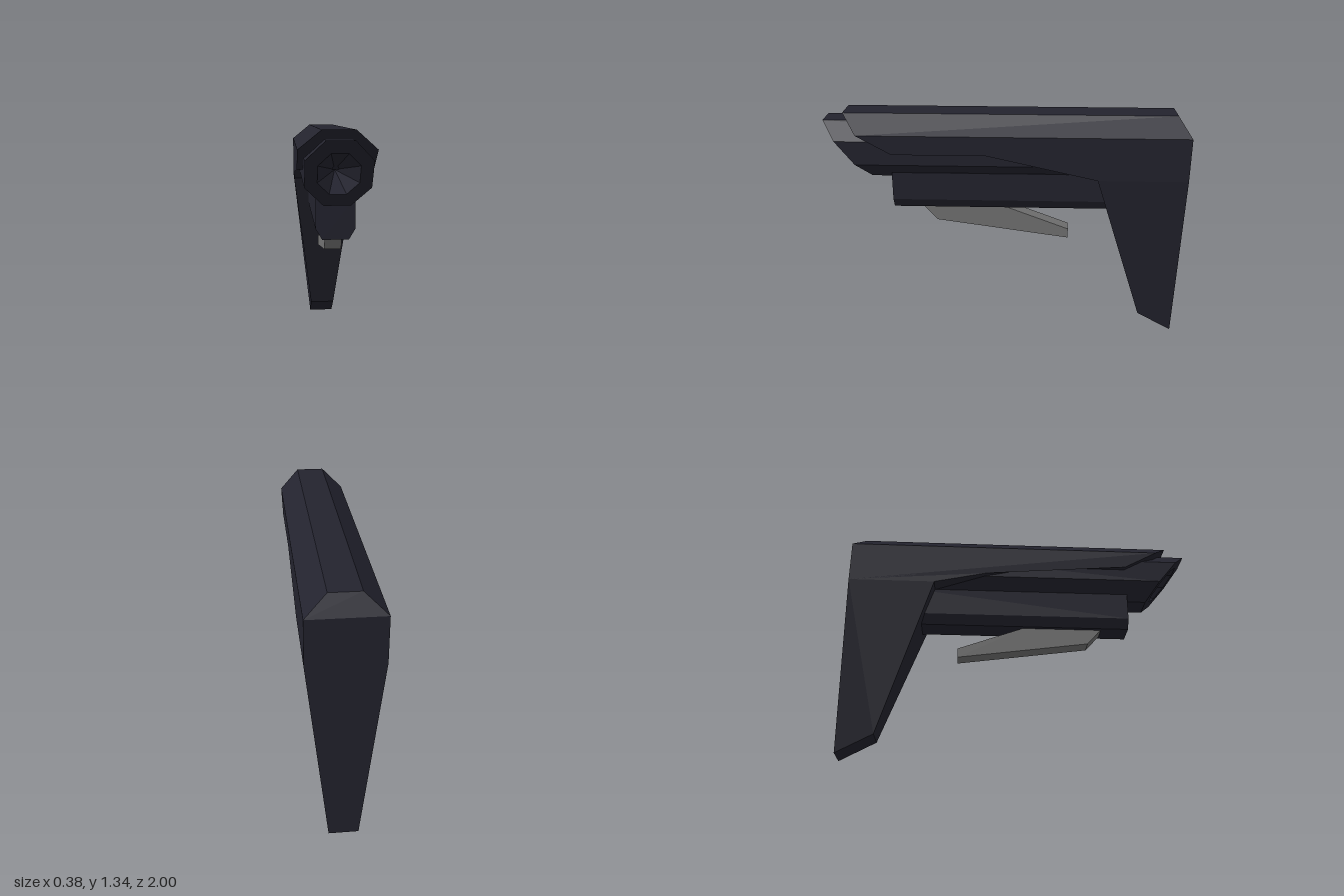
import * as THREE from 'three';

const darkBody = new THREE.MeshStandardMaterial({ color: 0x23232e });
const greyMetal = new THREE.MeshStandardMaterial({ color: 0x757575 });

// Flat-faced geometry from convex polygons (corners counter-clockwise from outside)
function facets(polys) {
  const pos = [];
  for (const p of polys) {
    for (let i = 1; i < p.length - 1; i++) pos.push(...p[0], ...p[i], ...p[i + 1]);
  }
  const g = new THREE.BufferGeometry();
  g.setAttribute('position', new THREE.Float32BufferAttribute(pos, 3));
  g.computeVertexNormals();
  return g;
}

// Skin over rings ordered from back to front; the first ring is capped
function loft(rings, capFront) {
  const polys = [[...rings[0]].reverse()];
  for (let r = 0; r < rings.length - 1; r++) {
    const a = rings[r], b = rings[r + 1], n = a.length;
    for (let i = 0; i < n; i++) {
      const j = (i + 1) % n;
      polys.push([a[i], a[j], b[j], b[i]]);
    }
  }
  if (capFront) polys.push(rings[rings.length - 1]);
  return facets(polys);
}

// Housing and grip: side outline of [z, y, half width], mirrored in x
function housingGeometry() {
  const outline = [
    [0.80, 1.24, 0.192], [0.61, 1.135, 0.192], [0.10, 1.135, 0.192], [-0.51, 1.0, 0.192],
    [-0.80, 0.11, 0.077], [-1, 0, 0.077], [-1, 1.0, 0.192], [-1, 1.24, 0.192],
    [-0.935, 1.335, 0.08], [0.885, 1.335, 0.08],
  ];
  const L = outline.map(([z, y, w]) => [w, y, z]);
  const R = outline.map(([z, y, w]) => [-w, y, z]);
  const polys = [];
  // strips joining the two sides
  for (let i = 0; i < L.length; i++) {
    const j = (i + 1) % L.length;
    polys.push([L[i], R[i], R[j], L[j]]);
  }
  // side wall, grip side and top bevel
  for (const face of [[7, 0, 1, 2, 3, 6], [3, 4, 5, 6], [0, 7, 8, 9]]) {
    polys.push(face.map(i => L[i]), face.map(i => R[i]).reverse());
  }
  return facets(polys);
}

// Barrel: octagon with a slanted muzzle and a conical bore
function barrelGeometry() {
  const cy = 1.13;
  const slant = y => 1 - (1.29 - y) * 0.797;
  const octagon = (r, zOf) => {
    const k = r * 0.4142;
    return [[-k, -r], [k, -r], [r, -k], [r, k], [k, r], [-k, r], [-r, k], [-r, -k]]
      .map(([x, y]) => [x, cy + y, zOf(cy + y)]);
  };
  return loft([
    octagon(0.16, () => -0.65),
    octagon(0.16, slant),
    octagon(0.1, slant),
    octagon(0, () => 0.55),
  ], false);
}

// Lower tube: bevelled block under the barrel
function lowerTubeGeometry() {
  const ring = z => [[-0.067, 0.785], [0.067, 0.785], [0.1, 0.84], [0.1, 1.0], [-0.1, 1.0], [-0.1, 0.84]]
    .map(([x, y]) => [x, y, z]);
  return loft([ring(-0.65), ring(0.63)], true);
}

// Lever: tapered plate hanging below the tube
function leverGeometry() {
  const shape = new THREE.Shape(
    [[0.49, 0.80], [0.47, 0.785], [0.39, 0.695], [-0.365, 0.59], [-0.365, 0.645], [0.01, 0.785], [0.05, 0.80]]
      .map(([z, y]) => new THREE.Vector2(-z, y)));
  const g = new THREE.ExtrudeGeometry(shape, { depth: 0.09, bevelEnabled: false });
  g.translate(0, 0, -0.045);
  g.rotateY(Math.PI / 2);
  return g;
}

export function createModel() {
  const model = new THREE.Group();
  model.name = 'model';
  const add = (name, geometry, material) => {
    const mesh = new THREE.Mesh(geometry, material);
    mesh.name = name;
    model.add(mesh);
  };
  add('housingAndGrip', housingGeometry(), darkBody);
  add('barrel', barrelGeometry(), darkBody);
  add('lowerTube', lowerTubeGeometry(), darkBody);
  add('lever', leverGeometry(), greyMetal);
  return model;
}
